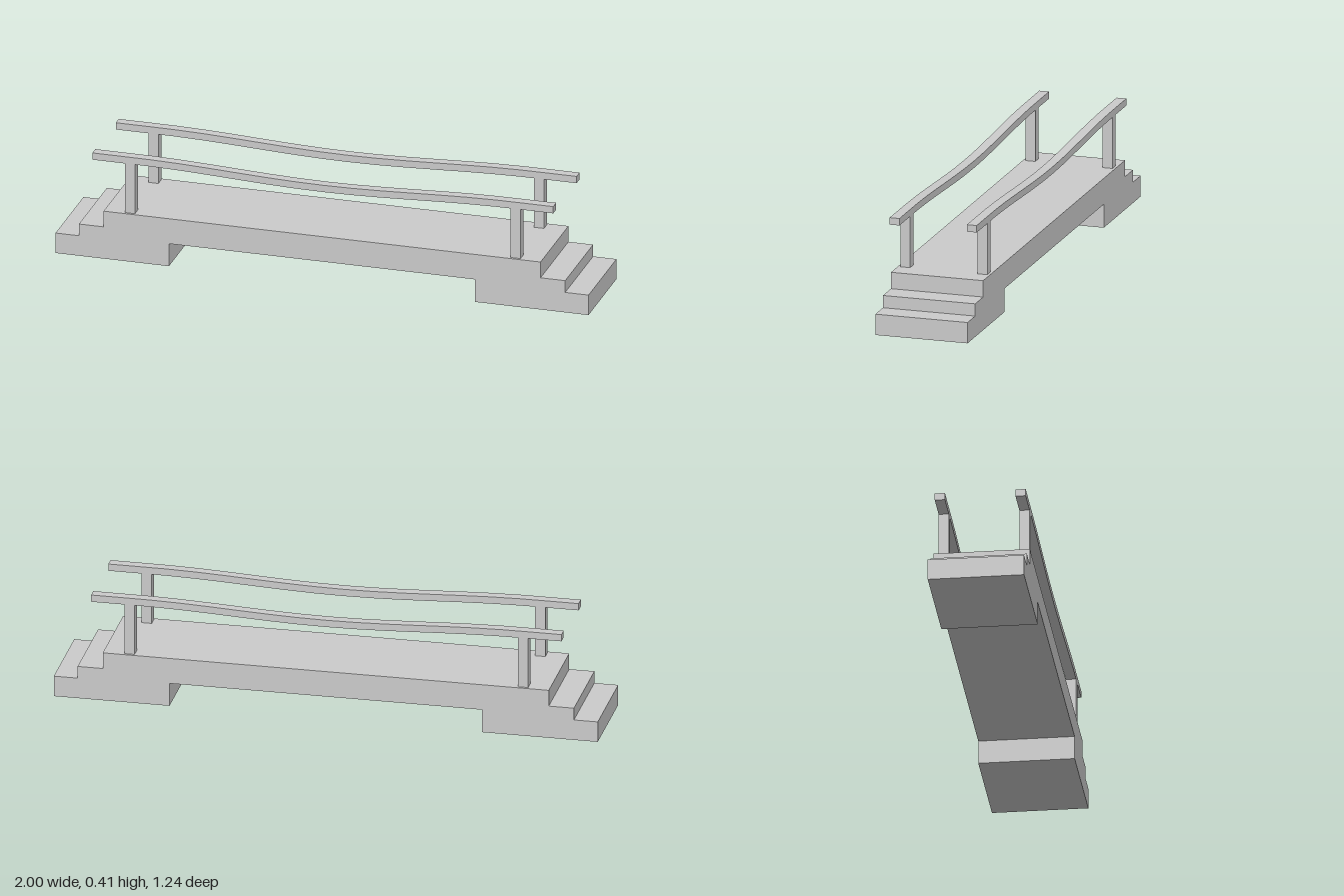
import * as THREE from 'three';

const material = new THREE.MeshStandardMaterial({ color: 0xcccccc, flatShading: true });

function add(parent, geometry, name, x = 0, y = 0, z = 0) {
  const mesh = new THREE.Mesh(geometry, material);
  mesh.name = name;
  mesh.position.set(x, y, z);
  parent.add(mesh);
  return mesh;
}

export function createModel() {
  const root = new THREE.Group();
  root.name = 'footbridge';

  // The bridge is built along x, then turned diagonally
  const bridge = new THREE.Group();
  bridge.name = 'bridge';
  bridge.rotation.y = -0.467;
  root.add(bridge);

  // Deck, end steps and piers: one side profile, mirrored and extruded across the width
  const width = 0.358;
  const half = [
    [0.59, 0.09], [0.59, 0], [1.027, 0], [1.027, 0.08], [0.937, 0.08],
    [0.937, 0.127], [0.842, 0.127], [0.842, 0.19],
  ];
  const outline = [...half, ...half.map(([x, y]) => [-x, y]).reverse()];
  const shape = new THREE.Shape(outline.map(([x, y]) => new THREE.Vector2(x, y)));
  const body = new THREE.ExtrudeGeometry(shape, { depth: width, bevelEnabled: false });
  add(bridge, body, 'deckAndSteps', 0, 0, -width / 2);

  // Handrail: a bar with level ends that sags gently in the middle
  const rail = new THREE.BoxGeometry(1.776, 0.027, 0.038, 16, 1, 1);
  const p = rail.attributes.position;
  for (let i = 0; i < p.count; i++) {
    const t = Math.min(Math.abs(p.getX(i)) / 0.72, 1);
    p.setY(i, p.getY(i) - 0.011 * (1 + Math.cos(Math.PI * t)));
  }
  rail.computeVertexNormals();

  const post = new THREE.BoxGeometry(0.038, 0.2, 0.038);
  for (const [side, z] of [['left', -0.15], ['right', 0.15]]) {
    add(bridge, rail, side + 'Handrail', 0, 0.4, z);
    for (const [end, x] of [['Near', 0.743], ['Far', -0.743]]) {
      add(bridge, post, side + end + 'Post', x, 0.288, z);
    }
  }
  return root;
}
